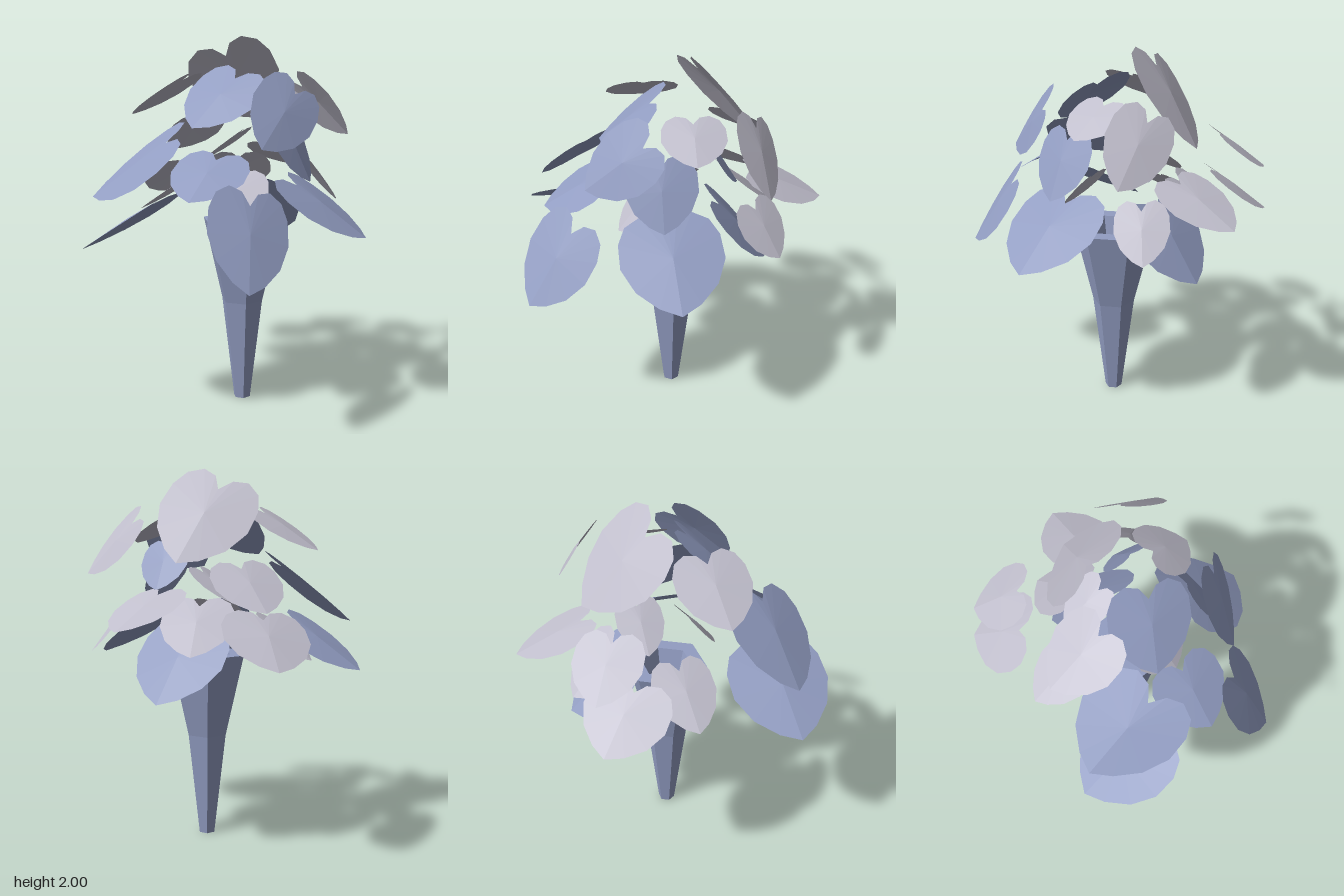
import * as THREE from 'three';

const V = (a) => new THREE.Vector3(...a);
const NOTCH = 0.83; // height of the notch between the lobes, as a share of the leaf length

// Heart-shaped leaf: tip at y = 0, lobes up to y = 1, unit width, slightly folded along the midrib
function leafGeometry() {
  const half = [[0.19, 0.1], [0.38, 0.28], [0.49, 0.52], [0.48, 0.76], [0.4, 0.92], [0.25, 1], [0.1, 0.96]];
  const outline = [
    [0, 0], ...half, [0, NOTCH], ...half.slice().reverse().map(([x, y]) => [-x, y]),
  ].map(([x, y]) => new THREE.Vector3(x, y, 0.01 - 0.08 * Math.abs(x)));
  const centre = new THREE.Vector3(0, 0.55, 0.025);
  const points = [];
  outline.forEach((p, i) => points.push(centre, p, outline[(i + 1) % outline.length]));
  const geometry = new THREE.BufferGeometry().setFromPoints(points);
  geometry.computeVertexNormals();
  return geometry;
}

// Each leaf: notch position, tip position, facing direction, width
const BLUE_LEAVES = {
  upperFrontLeaf: [[0.02, 1.78, 0.1], [-0.12, 1.54, 0.35], [-0.1, 0.65, 0.7], 0.43],
  upperFrontSideLeaf: [[0.36, 1.71, 0.17], [0.28, 1.46, 0.45], [0.66, 0.43, 0.6], 0.36],
  middleSideLeaf: [[0.28, 1.55, 0.08], [0.42, 1.26, 0.08], [0.85, 0.45, 0.1], 0.37],
  middleFrontLeaf: [[0.02, 1.39, 0.38], [-0.01, 1.22, 0.66], [0.05, 0.87, 0.49], 0.4],
  middleFrontCornerLeaf: [[-0.23, 1.47, 0.42], [-0.63, 1.18, 0.46], [-0.56, 0.75, 0.44], 0.54],
  innerBackLeaf: [[0.15, 1.59, -0.2], [0.14, 1.38, -0.33], [0, 0.5, -0.86], 0.28],
  lowerFrontLeaf: [[0.25, 1.2, 0.53], [0.33, 0.83, 0.77], [0.65, 0.5, 0.6], 0.43],
  lowerSideLeaf: [[0.34, 1.23, 0.05], [0.71, 0.97, 0.03], [0.57, 0.82, 0], 0.54],
  lowerBackLeaf: [[-0.02, 1.15, -0.27], [0.01, 0.83, -0.55], [0, 0.66, -0.75], 0.52],
  lowerFrontCornerLeaf: [[-0.29, 1.16, 0.47], [-0.69, 0.9, 0.48], [-0.55, 0.83, 0], 0.55],
};
const PALE_LEAVES = {
  topLeaf: [[-0.13, 1.89, -0.16], [-0.06, 1.53, -0.47], [-0.32, 0.65, -0.7], 0.5],
  upperSideLeaf: [[0.2, 1.74, -0.09], [0.41, 1.61, -0.08], [0.45, 0.85, 0], 0.33],
  upperBackSideLeaf: [[0.24, 1.72, -0.39], [0.5, 1.46, -0.42], [0.43, 0.57, -0.7], 0.33],
  upperOtherSideLeaf: [[-0.27, 1.77, 0.1], [-0.57, 1.58, 0.11], [-0.5, 0.85, 0], 0.39],
  middleBackCornerLeaf: [[-0.39, 1.51, -0.42], [-0.59, 1.32, -0.56], [-0.4, 0.8, -0.35], 0.36],
  middleBackLeaf: [[0.05, 1.37, -0.46], [0.08, 1.22, -0.8], [0.1, 0.88, -0.46], 0.37],
  innerOtherSideLeaf: [[-0.06, 1.47, -0.19], [-0.28, 1.31, -0.2], [-0.5, 0.85, 0], 0.25],
  innerFrontLeaf: [[0.05, 1.27, 0.13], [0.08, 1.09, 0.28], [0.1, 0.75, 0.6], 0.33],
  lowerBackSideLeaf: [[0.29, 1.29, -0.4], [0.42, 1.07, -0.51], [0.65, 0.6, -0.4], 0.28],
  lowerBackInnerLeaf: [[-0.12, 1.31, -0.34], [-0.2, 1.09, -0.58], [-0.2, 0.75, -0.6], 0.38],
  lowerBackCornerLeaf: [[-0.47, 1.26, -0.34], [-0.65, 1.05, -0.55], [-0.5, 0.75, -0.4], 0.45],
  lowerOtherSideLeaf: [[-0.33, 1.22, -0.06], [-0.61, 1.03, -0.05], [-0.55, 0.83, 0], 0.33],
};

// Places one leaf from its tip to its notch, turned to its facing direction
function makeLeaf(name, [notch, tip, facing, width], geometry, material) {
  const along = V(notch).sub(V(tip));
  const length = along.length() / NOTCH;
  along.normalize();
  const across = along.clone().cross(V(facing)).normalize();
  const normal = across.clone().cross(along);
  const leaf = new THREE.Mesh(geometry, material);
  leaf.name = name;
  leaf.quaternion.setFromRotationMatrix(new THREE.Matrix4().makeBasis(across, along, normal));
  leaf.scale.set(width, length, width);
  leaf.position.copy(V(tip));
  return leaf;
}

export function createModel() {
  const model = new THREE.Group();
  const [blue, pale] = [0x929dc2, 0xc0becc].map((color) => new THREE.MeshStandardMaterial({
    color, flatShading: true, side: THREE.DoubleSide,
  }));

  // Tapered six-sided vase with a thick rim and a recessed floor
  const profile = [
    [0, 0], [0.047, 0], [0.117, 0.57], [0.225, 1.02], [0.142, 1.02], [0.11, 0.9], [0, 0.9],
  ].map(([r, y]) => new THREE.Vector2(r, y));
  const vase = new THREE.Mesh(new THREE.LatheGeometry(profile, 6, Math.PI / 2), blue);
  vase.name = 'vase';
  vase.position.set(0.02, 0, -0.005);
  model.add(vase);

  // Foliage
  const foliage = new THREE.Group();
  foliage.name = 'foliage';
  const geometry = leafGeometry();
  for (const [leaves, material] of [[BLUE_LEAVES, blue], [PALE_LEAVES, pale]]) {
    for (const [name, spec] of Object.entries(leaves)) {
      foliage.add(makeLeaf(name, spec, geometry, material));
    }
  }
  model.add(foliage);
  return model;
}
